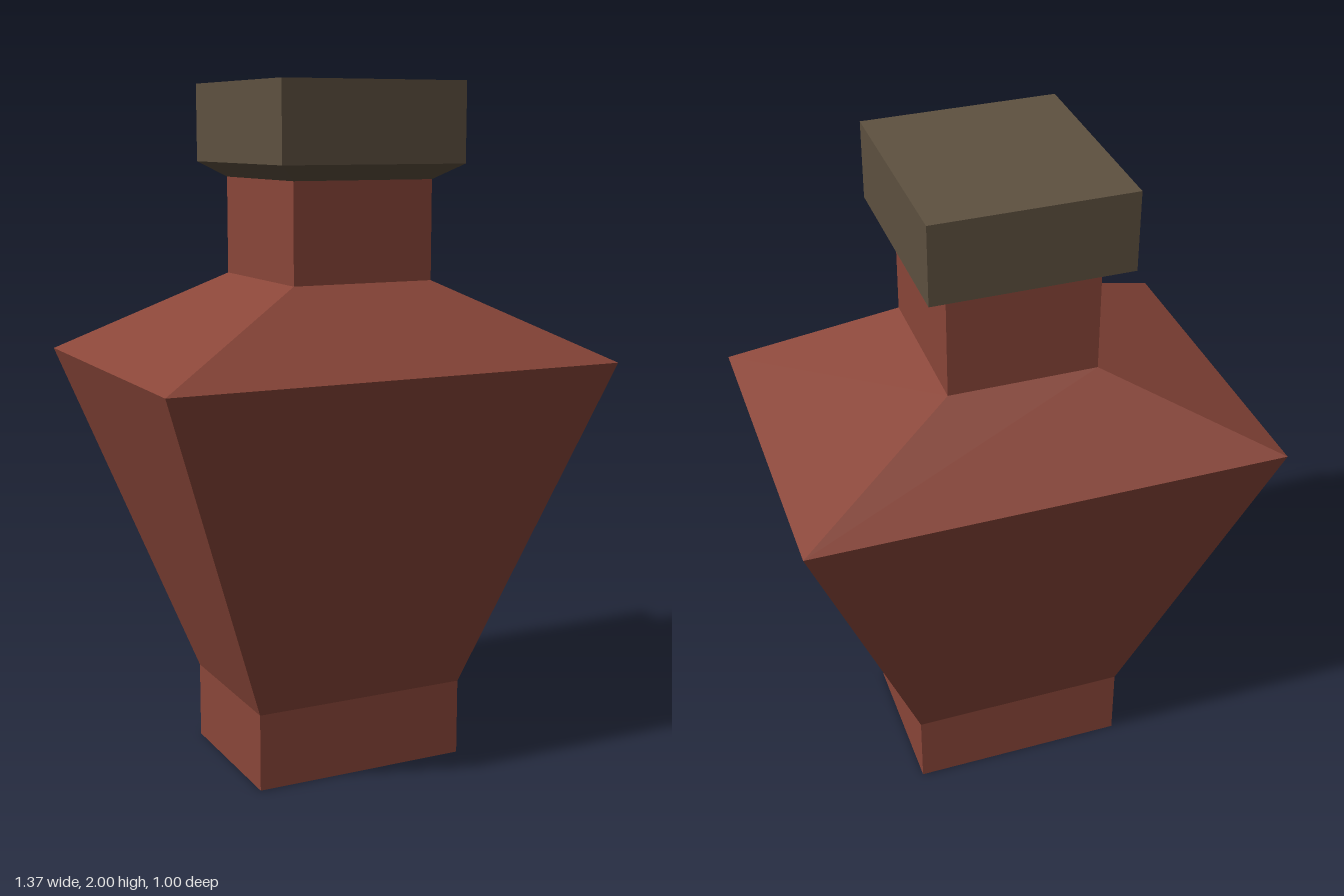
import * as THREE from 'three';

const clay = new THREE.MeshStandardMaterial({ color: 0x8a4639, flatShading: true });
clay.name = 'red clay';
const umber = new THREE.MeshStandardMaterial({ color: 0x5e5140, flatShading: true });
umber.name = 'dark umber';

// Closed solid through rectangular sections [y, half width, half depth], listed bottom to top
function loft(sections) {
  const rings = sections.map(([y, w, d]) => [[-w, y, d], [w, y, d], [w, y, -d], [-w, y, -d]]);
  const pos = [];
  const quad = (a, b, c, d) => pos.push(...a, ...b, ...c, ...a, ...c, ...d);
  for (let i = 0; i < rings.length - 1; i++) {
    const low = rings[i], high = rings[i + 1];
    for (let k = 0; k < 4; k++) {
      const n = (k + 1) % 4;
      quad(low[k], low[n], high[n], high[k]);
    }
  }
  const base = rings[0];
  quad(base[3], base[2], base[1], base[0]);
  quad(...rings[rings.length - 1]);
  const geometry = new THREE.BufferGeometry();
  geometry.setAttribute('position', new THREE.Float32BufferAttribute(pos, 3));
  geometry.computeVertexNormals();
  return geometry;
}

function part(name, sections, material) {
  const mesh = new THREE.Mesh(loft(sections), material);
  mesh.name = name;
  return mesh;
}

export function createModel() {
  const model = new THREE.Group();
  model.name = 'squareUrn';

  // Foot, flared belly, sloping shoulder and neck
  model.add(part('urnBody', [
    [0, 0.325, 0.237],
    [0.228, 0.325, 0.237],
    [1.213, 0.684, 0.498],
    [1.446, 0.214, 0.237],
    [1.73, 0.214, 0.237],
  ], clay));

  // Block stopper with a bevelled underside
  model.add(part('stopper', [
    [1.73, 0.214, 0.237],
    [1.774, 0.28, 0.31],
    [2, 0.28, 0.31],
  ], umber));

  return model;
}
